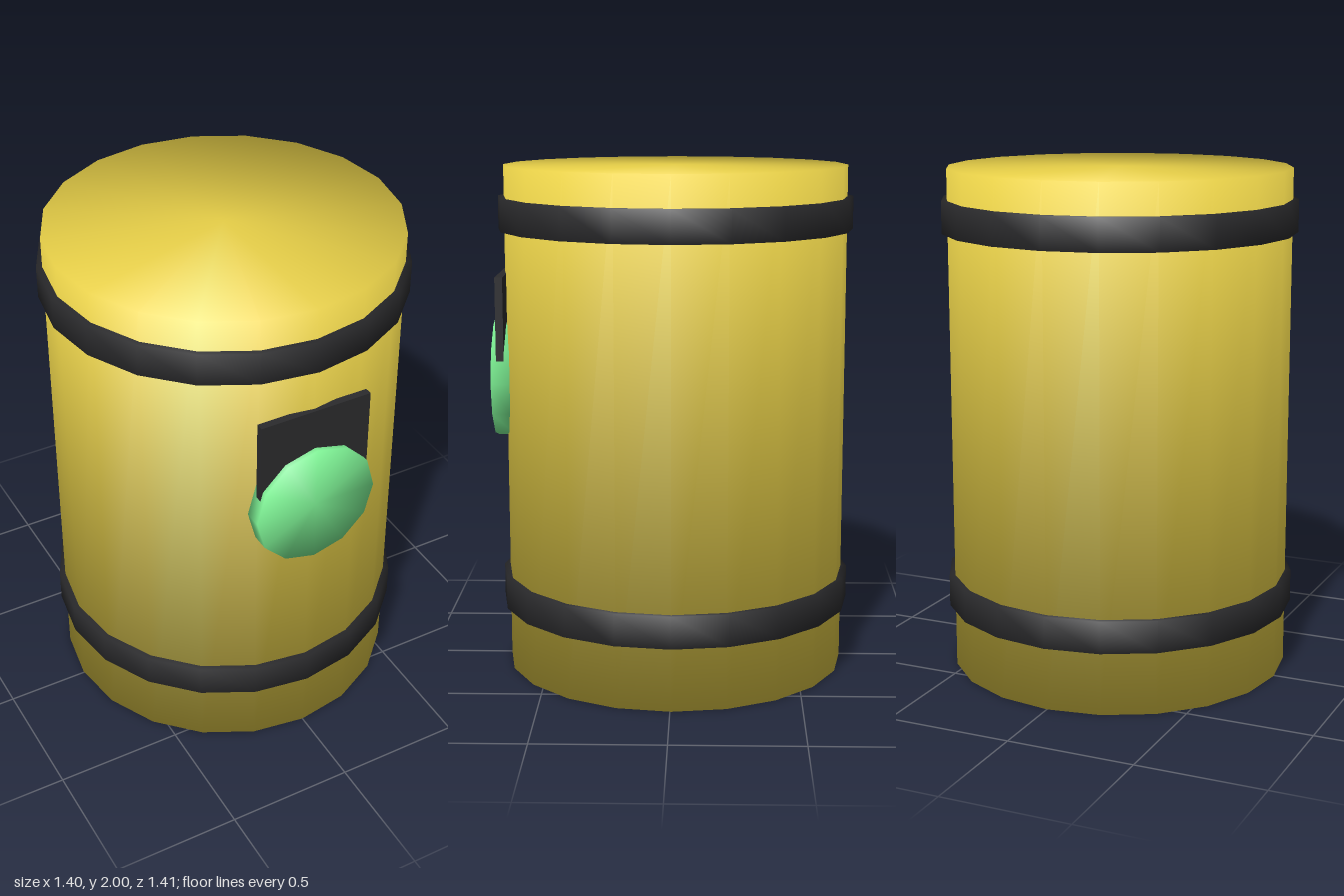
import * as THREE from 'three';

const material = (color) => new THREE.MeshStandardMaterial({ color });
const yellow = material(0xe8d048);
const black = material(0x2b2b2d);
const green = material(0x7ff596);

// Closed drum whose shading runs smoothly over the rim from wall to caps
function softDrum(radius, height, sides) {
  const geometry = new THREE.CylinderGeometry(radius, radius, height, sides);
  const { position, normal } = geometry.attributes;
  for (let i = 0; i < position.count; i++) {
    normal.setXYZ(
      i,
      (position.getX(i) / radius) * Math.SQRT1_2,
      Math.sign(position.getY(i)) * Math.SQRT1_2,
      (position.getZ(i) / radius) * Math.SQRT1_2
    );
  }
  return geometry;
}

export function createModel() {
  const model = new THREE.Group();
  const sides = 20;
  const centreZ = -0.005;

  function add(name, geometry, mat, x, y, z) {
    const mesh = new THREE.Mesh(geometry, mat);
    mesh.name = name;
    mesh.position.set(x, y, z);
    model.add(mesh);
  }

  // Barrel body
  add('barrelBody', softDrum(0.675, 2, sides), yellow, 0, 1, centreZ);

  // Hoops around the barrel, softly shaded over their edges
  const hoopProfile = [[0.65, -0.063], [0.698, -0.063], [0.698, 0.063], [0.65, 0.063]]
    .map(([r, y]) => new THREE.Vector2(r, y));
  const hoop = new THREE.LatheGeometry(hoopProfile, sides);
  add('lowerHoop', hoop, black, 0, 0.315, centreZ);
  add('upperHoop', hoop, black, 0, 1.815, centreZ);

  // Square plate on the front, partly sunk into the wall
  add('frontPlate', new THREE.BoxGeometry(0.45, 0.45, 0.03), black, 0, 1.355, 0.67);

  // Round disc over the lower part of the plate
  const disc = softDrum(0.248, 0.07, 12).rotateX(Math.PI / 2);
  add('frontDisc', disc, green, 0, 1.167, 0.67);

  return model;
}
